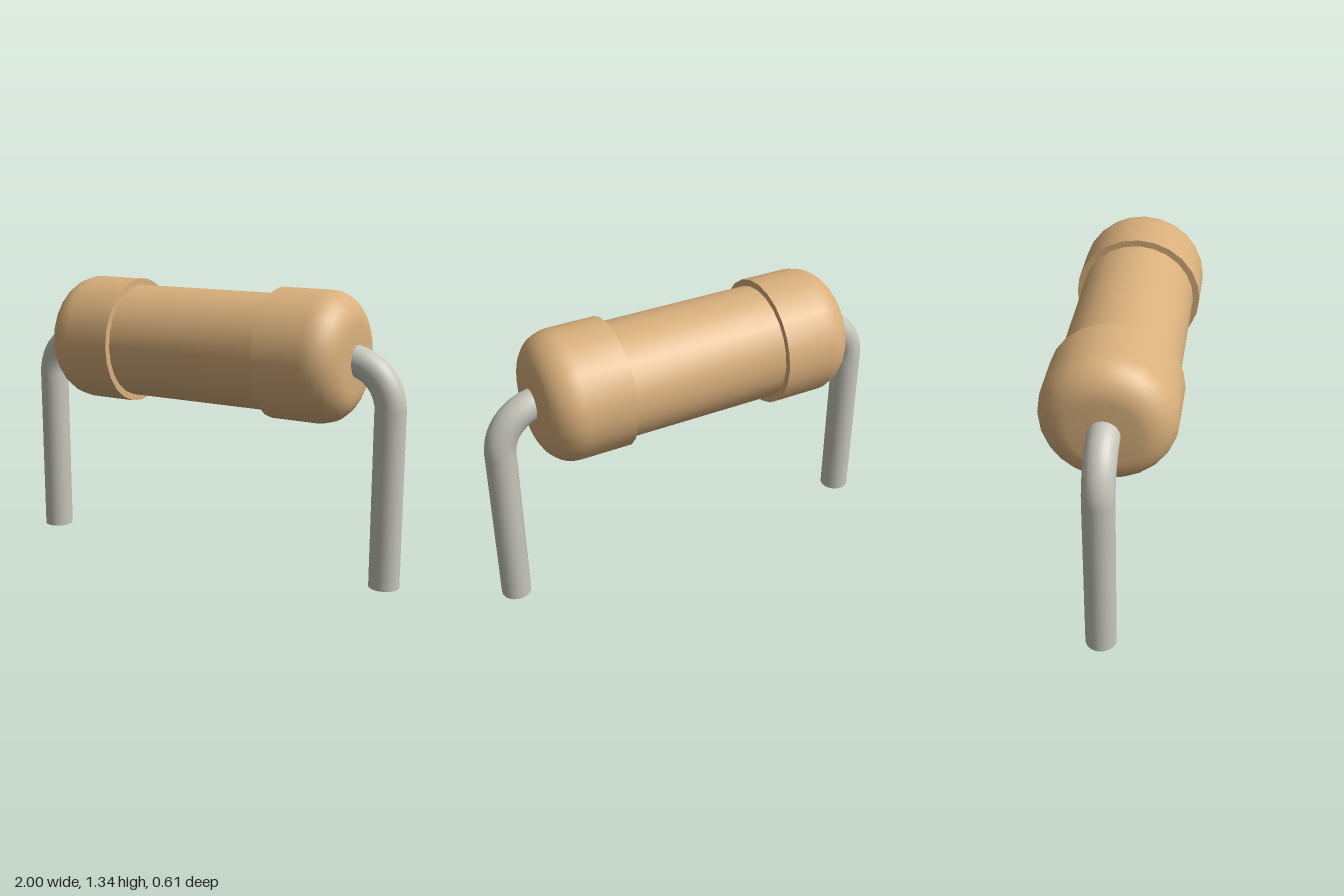
import * as THREE from 'three';
import { toCreasedNormals } from 'three/addons/utils/BufferGeometryUtils.js';

const AXIS_Y = 1.037;      // height of the body axis
const HALF_LENGTH = 0.765; // half length of the body
const CAP_R = 0.303, CORE_R = 0.272, STEP_X = 0.385, FILLET = 0.15;
const WIRE_R = 0.071, BEND_R = 0.215, WIRE_X = 0.929;

// Turned body: two rounded end caps joined by a slimmer core
function createBody(material) {
  const half = [new THREE.Vector2(CORE_R, STEP_X), new THREE.Vector2(CAP_R, STEP_X)];
  const steps = 8;
  for (let i = 0; i <= steps; i++) {
    const a = (i / steps) * Math.PI / 2;
    half.push(new THREE.Vector2(
      CAP_R - FILLET + FILLET * Math.cos(a),
      HALF_LENGTH - FILLET + FILLET * Math.sin(a)
    ));
  }
  half.push(new THREE.Vector2(0, HALF_LENGTH));
  const mirrored = half.map(p => new THREE.Vector2(p.x, -p.y)).reverse();
  const lathe = new THREE.LatheGeometry([...mirrored, ...half], 24);
  const body = new THREE.Mesh(toCreasedNormals(lathe, 0.7), material);
  body.name = 'body';
  body.rotation.z = -Math.PI / 2;
  body.position.y = AXIS_Y;
  return body;
}

// Wire lead: straight leg and a quarter bend into the body end
function createLead(name, material) {
  const lead = new THREE.Group();
  lead.name = name;
  const legHeight = AXIS_Y - BEND_R;

  const leg = new THREE.Mesh(new THREE.CylinderGeometry(WIRE_R, WIRE_R, legHeight, 24), material);
  leg.name = 'leg';
  leg.position.set(WIRE_X, legHeight / 2, 0);

  const bend = new THREE.Mesh(new THREE.TorusGeometry(BEND_R, WIRE_R, 24, 12, Math.PI / 2), material);
  bend.name = 'bend';
  bend.position.set(WIRE_X - BEND_R, legHeight, 0);

  lead.add(leg, bend);
  return lead;
}

export function createModel() {
  const model = new THREE.Group();
  model.name = 'resistor';
  const tan = new THREE.MeshStandardMaterial({ color: 0xd9b07c });
  const metal = new THREE.MeshStandardMaterial({ color: 0xc6c6bc });

  const leftLead = createLead('leftLead', metal);
  const rightLead = createLead('rightLead', metal);
  rightLead.rotation.y = Math.PI;

  model.add(createBody(tan), leftLead, rightLead);
  return model;
}
